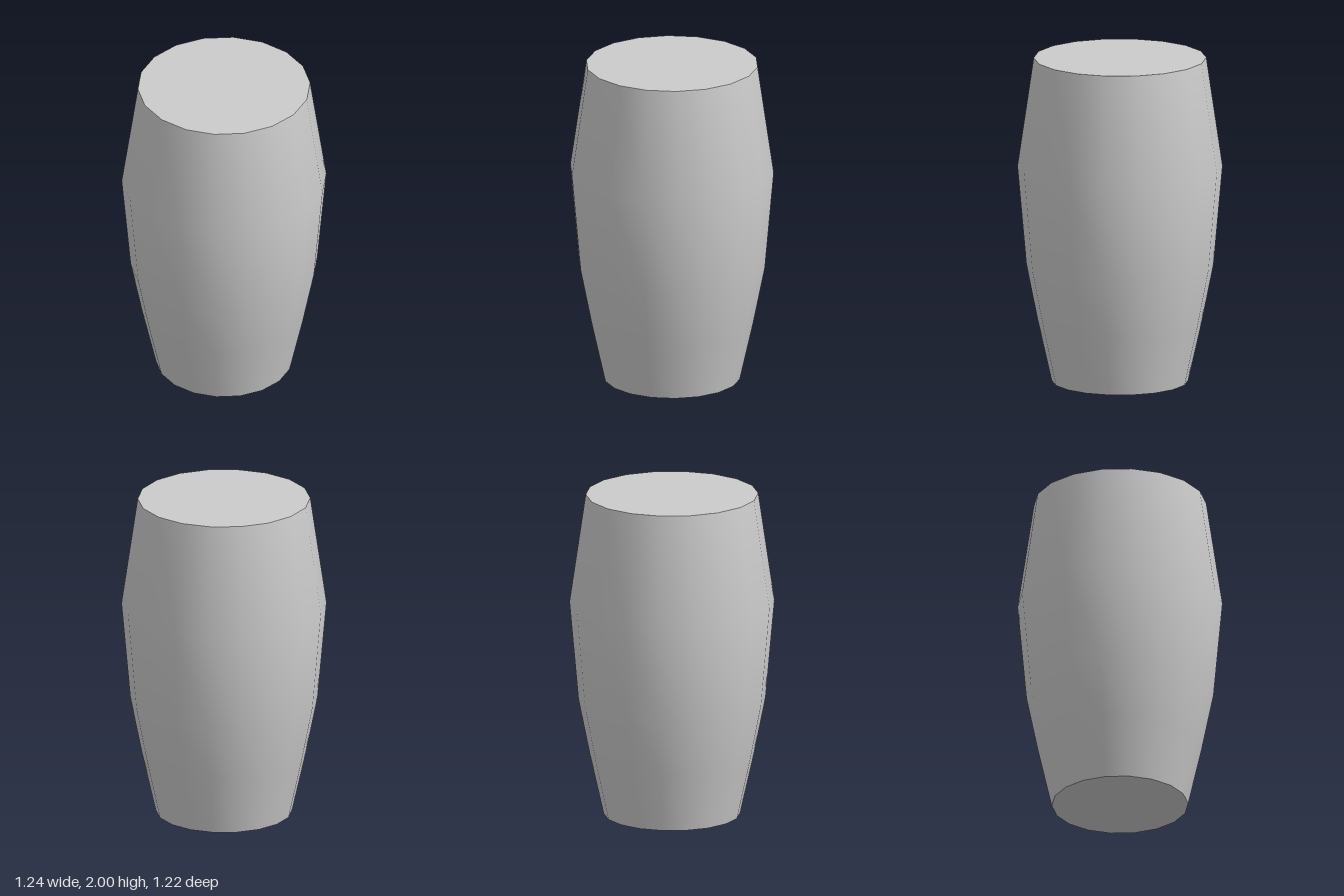
import * as THREE from 'three';

const SIDES = 18;
// [radius, height] from bottom to top
const PROFILE = [[0.413, 0], [0.494, 0.36], [0.566, 0.72], [0.62, 1.33], [0.522, 2]];

export function createModel() {
  const group = new THREE.Group();
  group.name = 'barrel';
  const material = new THREE.MeshStandardMaterial({ color: 0xcccccc });

  // Bulging wall, smooth shaded, with a corner on the x axis
  const points = PROFILE.map(([r, y]) => new THREE.Vector2(r, y));
  const wall = new THREE.Mesh(new THREE.LatheGeometry(points, SIDES, Math.PI / 2), material);
  wall.name = 'wall';
  group.add(wall);

  // Flat end discs
  const addCap = (name, [radius, y], tilt) => {
    const cap = new THREE.Mesh(new THREE.CircleGeometry(radius, SIDES), material);
    cap.name = name;
    cap.rotation.x = tilt;
    cap.position.y = y;
    group.add(cap);
  };
  addCap('bottomCap', PROFILE[0], Math.PI / 2);
  addCap('topCap', PROFILE[PROFILE.length - 1], -Math.PI / 2);

  return group;
}
